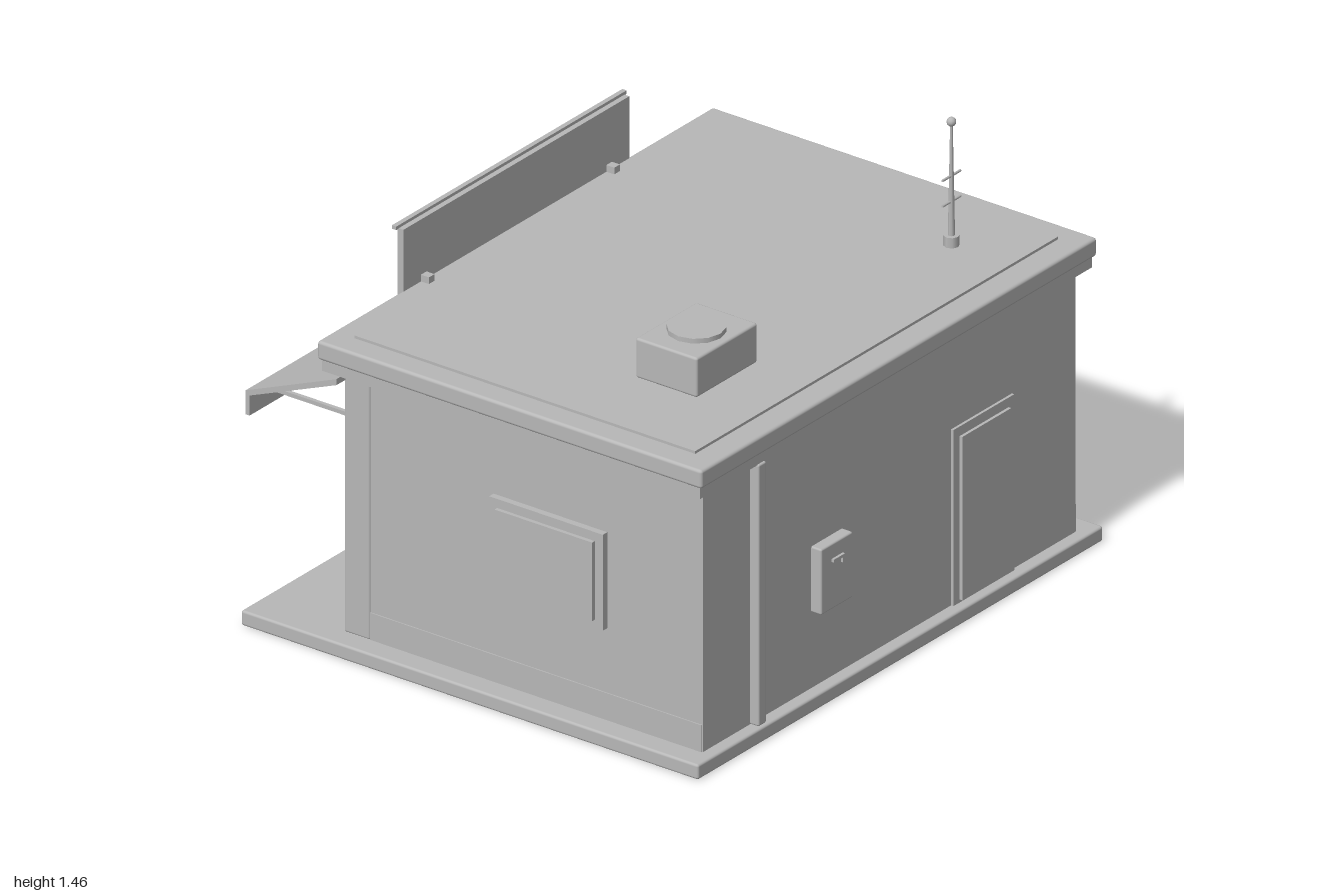
import * as THREE from 'three';
import { RoundedBoxGeometry } from 'three/addons/geometries/RoundedBoxGeometry.js';

export function createModel() {
  const group = new THREE.Group();
  const grey = new THREE.MeshStandardMaterial({ color: 0xb8b8b8 });
  grey.name = 'plain grey';

  const add = (name, geometry, x = 0, y = 0, z = 0) => {
    const mesh = new THREE.Mesh(geometry, grey);
    mesh.name = name;
    mesh.position.set(x, y, z);
    group.add(mesh);
    return mesh;
  };
  // Boxes given by their limits on each axis; a bevel softens the edges.
  const box = (name, x0, x1, y0, y1, z0, z1, bevel = 0) => {
    const size = [x1 - x0, y1 - y0, z1 - z0];
    const geometry = bevel
      ? new RoundedBoxGeometry(...size, 2, bevel)
      : new THREE.BoxGeometry(...size);
    return add(name, geometry, (x0 + x1) / 2, (y0 + y1) / 2, (z0 + z1) / 2);
  };
  const cylinder = (name, rTop, rBottom, y0, y1, x, z, sides = 12) =>
    add(name, new THREE.CylinderGeometry(rTop, rBottom, y1 - y0, sides), x, (y0 + y1) / 2, z);

  // Ground slab and inner floor
  box('baseSlab', -1, 1, 0, 0.05, -0.855, 0.855, 0.008);
  box('innerFloor', -0.88, 0.88, 0.045, 0.056, -0.5, 0.78);

  // Hollow shell, open to the back
  box('frontWall', -0.92, 0.92, 0.05, 0.925, 0.76, 0.813);
  for (const s of [-1, 1]) {
    const side = (name, a, b, ...rest) =>
      box(name, Math.min(s * a, s * b), Math.max(s * a, s * b), ...rest);
    side('sideWall', 0.87, 0.92, 0.05, 0.925, -0.45, 0.77);
    side('sidePlinth', 0.91, 0.924, 0.05, 0.14, -0.43, 0.81);
    side('cornerPost', 0.83, 0.926, 0.05, 0.922, -0.525, -0.43, 0.006);
    // Side windows
    side('windowFrame', 0.91, 0.942, 0.355, 0.675, 0.03, 0.455);
    side('windowPane', 0.93, 0.955, 0.383, 0.645, 0.06, 0.425);
    // Awning arms
    side('awningArm', 0.88, 0.893, 0.75, 0.763, -0.855, -0.525);
  }
  box('header', -0.84, 0.84, 0.71, 0.925, -0.515, -0.44);

  // Rolled shutter hanging below the header
  for (let i = 0; i < 4; i++) {
    const y = 0.678 - i * 0.034;
    box('shutterSlat', -0.835, 0.835, y, y + 0.028, -0.495, -0.47);
  }
  box('shutterBacking', -0.835, 0.835, 0.575, 0.715, -0.475, -0.46);

  // Roof
  box('roofSoffit', -0.967, 0.967, 0.92, 0.962, -0.577, 0.838);
  box('roofSlab', -0.977, 0.977, 0.958, 1.02, -0.588, 0.85, 0.01);
  box('roofPanel', -0.895, 0.895, 1.01, 1.029, -0.51, 0.765);

  // Awning with hanging valance, swept across the width
  const profile = new THREE.Shape([
    [0.52, 0.91], [0.86, 0.77], [0.86, 0.69], [0.845, 0.69], [0.845, 0.757], [0.52, 0.89],
  ].map(([d, y]) => new THREE.Vector2(d, y)));
  const awning = new THREE.ExtrudeGeometry(profile, { depth: 1.94, bevelEnabled: false });
  awning.rotateY(Math.PI / 2);
  awning.translate(-0.97, 0, 0);
  add('awning', awning);

  // Blank sign board at the rear roof edge
  box('signBoard', -0.56, 0.555, 0.97, 1.226, -0.602, -0.58);
  for (const y of [0.964, 1.224]) box('signRail', -0.572, 0.565, y, y + 0.012, -0.614, -0.598);
  for (const x of [-0.46, 0.455]) box('signBracket', x - 0.014, x + 0.014, 1.01, 1.042, -0.585, -0.55);

  // Rooftop cooling unit
  box('coolingUnit', -0.61, -0.31, 1.028, 1.16, 0.325, 0.555, 0.008);
  cylinder('fanCover', 0.09, 0.09, 1.155, 1.176, -0.46, 0.44);

  // Antenna
  cylinder('antennaBase', 0.025, 0.025, 1.025, 1.063, 0.66, 0.545, 8);
  cylinder('antennaMast', 0.004, 0.011, 1.06, 1.435, 0.66, 0.545, 8);
  add('antennaTip', new THREE.SphereGeometry(0.015, 10, 8), 0.66, 1.44, 0.545);
  for (const y of [1.175, 1.26]) {
    const bar = cylinder('antennaBar', 0.004, 0.004, y - 0.045, y + 0.045, 0.66, 0.545, 6);
    bar.rotation.z = Math.PI / 2;
  }

  // Front: door, drainpipe and meter box
  box('doorFrame', 0.305, 0.605, 0.05, 0.637, 0.8, 0.822);
  box('doorPanel', 0.335, 0.577, 0.06, 0.605, 0.81, 0.832);
  box('drainpipe', -0.687, -0.648, 0.05, 0.922, 0.805, 0.845, 0.006);
  box('meterBox', -0.386, -0.23, 0.303, 0.522, 0.805, 0.851, 0.006);
  box('meterHandle', -0.335, -0.28, 0.462, 0.472, 0.845, 0.86);
  box('meterHandleEnd', -0.29, -0.28, 0.445, 0.472, 0.845, 0.86);

  // Serving counter with goods
  box('counterKick', -0.42, 0.86, 0.05, 0.095, -0.38, -0.27);
  box('counterBody', -0.43, 0.87, 0.09, 0.32, -0.39, -0.265);
  box('counterTop', -0.44, 0.87, 0.318, 0.345, -0.4, -0.255);
  for (const x of [0.7, 0.6, 0.5]) cylinder('cup', 0.03, 0.024, 0.343, 0.42, x, -0.33, 10);
  box('countertopTray', -0.34, -0.18, 0.343, 0.39, -0.38, -0.28);

  // Stacked crates
  box('lowerCrate', 0.675, 0.872, 0.05, 0.257, -0.81, -0.61, 0.008);
  box('upperCrate', 0.693, 0.841, 0.257, 0.405, -0.787, -0.639, 0.005).rotation.y = 0.31;

  return group;
}
